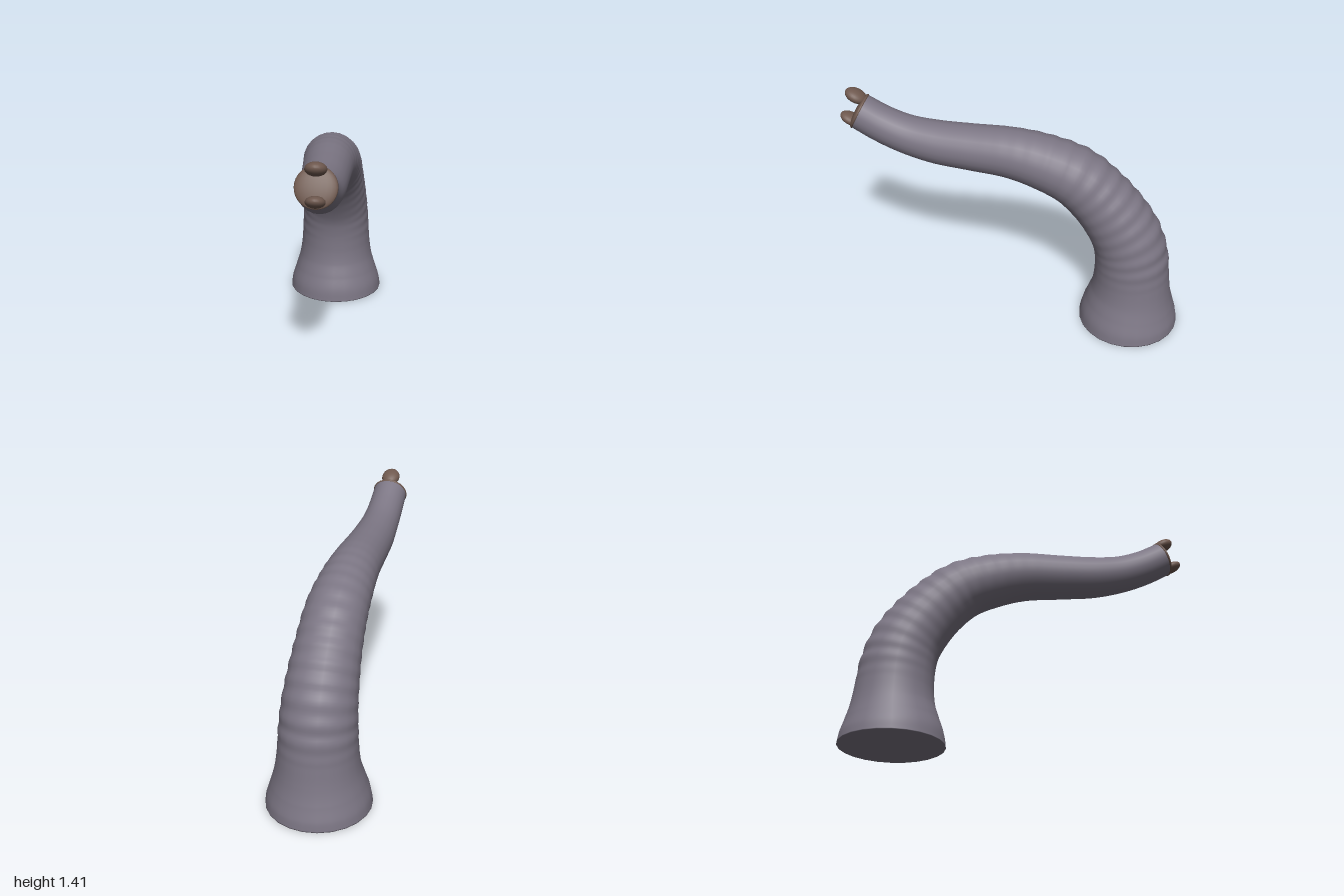
import * as THREE from 'three';

const SIDES = 24;
const RINGS = 180;

// Centreline in the yz plane; each entry is [radius, y, z]
const SPINE = [
  [0.297, 0, -0.703], [0.288, 0.06, -0.703], [0.263, 0.14, -0.705], [0.237, 0.23, -0.707],
  [0.222, 0.33, -0.705], [0.214, 0.46, -0.695], [0.205, 0.59, -0.662], [0.193, 0.73, -0.585],
  [0.181, 0.868, -0.475], [0.173, 0.98, -0.345], [0.159, 1.055, -0.16], [0.145, 1.094, 0.02],
  [0.133, 1.107, 0.25], [0.124, 1.12, 0.45], [0.112, 1.153, 0.62], [0.106, 1.207, 0.76],
  [0.103, 1.275, 0.885],
];
const TIP_TILT = -0.47;

// Rings swept along the spine, with soft skin folds on the outer side of the bend
function trunkGeometry() {
  const curve = new THREE.CatmullRomCurve3(SPINE.map((p) => new THREE.Vector3(...p)));
  const positions = [];
  const index = [];
  let length = 0;
  let previous = null;
  for (let i = 0; i <= RINGS; i++) {
    const u = i / RINGS;
    const p = curve.getPoint(u);
    const t = curve.getTangent(u);
    t.x = 0;
    if (i === 0) t.set(0, 1, 0);
    t.normalize();
    if (previous) length += Math.hypot(p.y - previous.y, p.z - previous.z);
    previous = p;
    const fade = THREE.MathUtils.smoothstep(length, 0.3, 0.5)
      * (1 - THREE.MathUtils.smoothstep(length, 1.0, 1.7));
    const fold = 0.004 * fade * Math.sin(length * 2 * Math.PI / 0.085);
    for (let j = 0; j < SIDES; j++) {
      const a = j / SIDES * Math.PI * 2;
      const r = p.x + fold * (0.5 + 0.5 * Math.sin(a));
      const out = r * Math.sin(a);
      positions.push(r * Math.cos(a), p.y + out * t.z, p.z - out * t.y);
    }
  }
  for (let i = 0; i < RINGS; i++) {
    for (let j = 0; j < SIDES; j++) {
      const k = (j + 1) % SIDES;
      const a = i * SIDES + j;
      const b = i * SIDES + k;
      index.push(a, b, b + SIDES, a, b + SIDES, a + SIDES);
    }
  }
  // Flat base sharing the rim, so the rim shades softly
  for (let j = 1; j < SIDES - 1; j++) index.push(0, j + 1, j);
  const geometry = new THREE.BufferGeometry();
  geometry.setAttribute('position', new THREE.Float32BufferAttribute(positions, 3));
  geometry.setIndex(index);
  geometry.computeVertexNormals();
  return geometry;
}

export function createModel() {
  const group = new THREE.Group();
  group.name = 'trunk';
  const skin = new THREE.MeshStandardMaterial({ color: 0x7c7684 });
  skin.name = 'grey skin';
  const tipSkin = new THREE.MeshStandardMaterial({ color: 0x6e584e });
  tipSkin.name = 'brown tip skin';

  const trunk = new THREE.Mesh(trunkGeometry(), skin);
  trunk.name = 'trunkBody';
  group.add(trunk);

  // Ellipsoids lined up with the end of the trunk
  const ball = new THREE.SphereGeometry(1, 24, 16);
  const addTipPart = (name, y, z, scale) => {
    const mesh = new THREE.Mesh(ball, tipSkin);
    mesh.name = name;
    mesh.position.set(0, y, z);
    mesh.rotation.x = TIP_TILT;
    mesh.scale.set(...scale);
    group.add(mesh);
  };
  addTipPart('tipPad', 1.275, 0.885, [0.107, 0.107, 0.024]);
  addTipPart('upperFinger', 1.372, 0.897, [0.055, 0.035, 0.065]);
  addTipPart('lowerFinger', 1.222, 0.943, [0.05, 0.03, 0.062]);
  return group;
}
